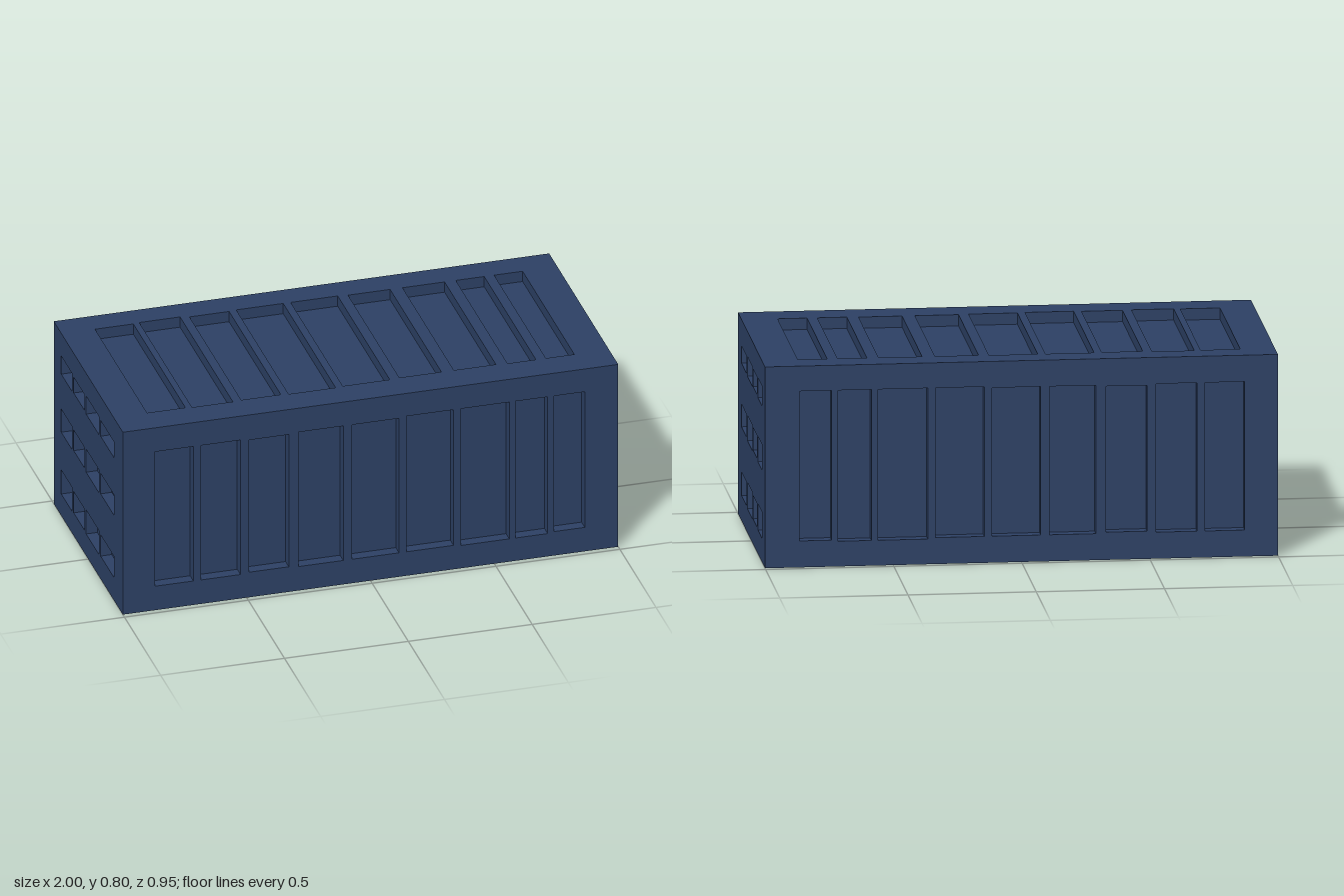
import * as THREE from 'three';
import { mergeGeometries } from 'three/addons/utils/BufferGeometryUtils.js';

const LENGTH = 2, HEIGHT = 0.8, WIDTH = 0.955, DEPTH = 0.045;

// Rectangles are [x0, x1, y0, y1]
const sideGrooves = [
  [-0.87, -0.715, 0.105, 0.695], [-0.685, -0.525, 0.105, 0.695], [-0.49, -0.33, 0.11, 0.69],
  [-0.29, -0.11, 0.105, 0.695], [-0.075, 0.115, 0.105, 0.695], [0.145, 0.335, 0.105, 0.7],
  [0.365, 0.56, 0.1, 0.7], [0.585, 0.715, 0.1, 0.7], [0.74, 0.865, 0.105, 0.7],
].map(([a, b, c, d]) => [a, b, c - HEIGHT / 2, d - HEIGHT / 2]);

const roofGrooves = [
  [-0.865, -0.71, -0.35, 0.37], [-0.685, -0.52, -0.355, 0.375], [-0.485, -0.325, -0.35, 0.365],
  [-0.295, -0.105, -0.355, 0.37], [-0.075, 0.115, -0.35, 0.37], [0.155, 0.325, -0.345, 0.365],
  [0.375, 0.545, -0.345, 0.365], [0.59, 0.705, -0.35, 0.365], [0.745, 0.86, -0.35, 0.365],
];

// End openings: four columns by three rows, every second column slightly taller
const columns = [[-0.355, -0.17], [-0.148, 0.03], [0.053, 0.202], [0.225, 0.374]];
const rows = [
  [[0.1, 0.193], [0.095, 0.2]],
  [[0.373, 0.463], [0.366, 0.467]],
  [[0.626, 0.695], [0.621, 0.7]],
];
const endPockets = rows.flatMap((row) => columns.map(([a, b], i) => {
  const [c, d] = row[i % 2];
  return [a, b, c - HEIGHT / 2, d - HEIGHT / 2];
}));

const mirrorX = (rects) => rects.map(([a, b, c, d]) => [-b, -a, c, d]);

// Open-fronted recess: a box without its front, turned inside out
function pocketGeometry([x0, x1, y0, y1]) {
  const g = new THREE.BoxGeometry(x1 - x0, y1 - y0, DEPTH);
  const idx = Array.from(g.index.array);
  idx.splice(24, 6);
  g.setIndex(idx.reverse());
  const n = g.attributes.normal;
  for (let i = 0; i < n.count; i++) n.setXYZ(i, -n.getX(i), -n.getY(i), -n.getZ(i));
  g.clearGroups();
  return g.translate((x0 + x1) / 2, (y0 + y1) / 2, -DEPTH / 2);
}

function rectPath(path, [x0, x1, y0, y1]) {
  path.moveTo(x0, y0).lineTo(x1, y0).lineTo(x1, y1).lineTo(x0, y1).closePath();
  return path;
}

// Flat wall with holes, plus the recesses behind them
function makeWall(name, w, h, rects, material) {
  const wall = new THREE.Group();
  wall.name = name;
  const shape = rectPath(new THREE.Shape(), [-w / 2, w / 2, -h / 2, h / 2]);
  rects.forEach((r) => shape.holes.push(rectPath(new THREE.Path(), r)));
  const panel = new THREE.Mesh(new THREE.ShapeGeometry(shape), material);
  panel.name = name + 'Panel';
  wall.add(panel);
  if (rects.length) {
    const recesses = new THREE.Mesh(mergeGeometries(rects.map(pocketGeometry)), material);
    recesses.name = name + 'Recesses';
    wall.add(recesses);
  }
  return wall;
}

export function createModel() {
  const model = new THREE.Group();
  model.name = 'container';
  const navy = new THREE.MeshStandardMaterial({ color: 0x2c4064 });
  navy.name = 'navy blue';

  const place = (wall, pos, rx, ry) => {
    wall.position.set(...pos);
    wall.rotation.set(rx, ry, 0);
    model.add(wall);
  };
  const mid = HEIGHT / 2, q = Math.PI / 2;

  // Long walls
  place(makeWall('frontWall', LENGTH, HEIGHT, sideGrooves, navy), [0, mid, WIDTH / 2], 0, 0);
  place(makeWall('backWall', LENGTH, HEIGHT, mirrorX(sideGrooves), navy), [0, mid, -WIDTH / 2], 0, Math.PI);
  // End walls
  place(makeWall('leftEnd', WIDTH, HEIGHT, endPockets, navy), [LENGTH / 2, mid, 0], 0, q);
  place(makeWall('rightEnd', WIDTH, HEIGHT, mirrorX(endPockets), navy), [-LENGTH / 2, mid, 0], 0, -q);
  // Roof and floor
  place(makeWall('roof', LENGTH, WIDTH, roofGrooves, navy), [0, HEIGHT, 0], -q, 0);
  place(makeWall('floor', LENGTH, WIDTH, [], navy), [0, 0, 0], q, 0);

  return model;
}
